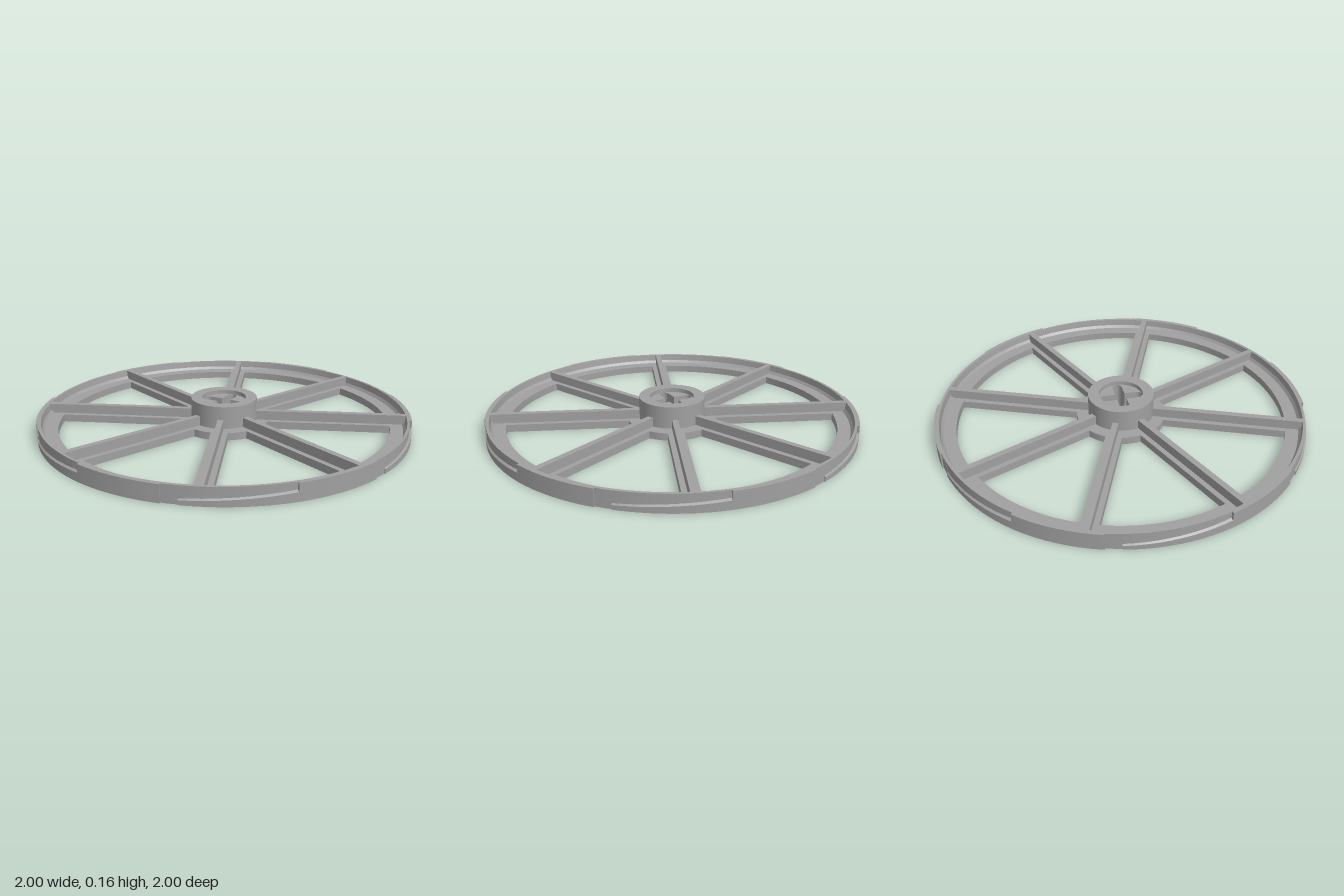
import * as THREE from 'three';
import { toCreasedNormals } from 'three/addons/utils/BufferGeometryUtils.js';

const grey = new THREE.MeshStandardMaterial({ name: 'mid grey', color: 0xa0a0a0 });

// Closed ring lofted through [angle, profile] sections; profiles run up the outside, down the inside
function loft(sections) {
  const pos = [], idx = [], n = sections[0][1].length, m = sections.length;
  for (const [deg, profile] of sections) {
    const a = THREE.MathUtils.degToRad(deg);
    for (const [r, y] of profile) pos.push(r * Math.cos(a), y, r * Math.sin(a));
  }
  for (let i = 0; i < m; i++) {
    const i2 = (i + 1) % m;
    for (let j = 0; j < n; j++) {
      const j2 = (j + 1) % n;
      const a = i * n + j, b = i * n + j2, c = i2 * n + j, d = i2 * n + j2;
      idx.push(a, b, c, b, d, c);
    }
  }
  const g = new THREE.BufferGeometry();
  g.setAttribute('position', new THREE.Float32BufferAttribute(pos, 3));
  g.setIndex(idx);
  return toCreasedNormals(g, 0.5);
}

function ring(profile, steps = 72) {
  return loft(Array.from({ length: steps }, (_, i) => [i * 360 / steps, profile]));
}

function add(parent, name, geometry) {
  const mesh = new THREE.Mesh(geometry, grey);
  mesh.name = name;
  parent.add(mesh);
  return mesh;
}

// Rim cross-section: outer face with an optional sloping ledge, inner wall and floor flange
function rimProfile(lip, ledgeY, top) {
  return [
    [lip, 0], [lip, ledgeY], [top, ledgeY + 0.007], [top, 0.09],
    [0.975, 0.09], [0.97, 0.055], [0.958, 0.04], [0.89, 0.04], [0.89, 0],
  ];
}

// Six repeats: plain band, shallow ramped recess, narrow step
function rimGeometry() {
  const sections = [];
  const run = (from, to, steps, fn) => {
    for (let i = 0; i <= steps; i++) {
      const t = i / steps;
      sections.push([from + (to - from) * t, fn(t)]);
    }
  };
  for (let k = 0; k < 6; k++) {
    const s = k * 60;
    run(s + 2.5, s + 28, 8, () => rimProfile(1, 0.044, 1));
    run(s + 28, s + 58, 10, t => rimProfile(1 - 0.003 * t, 0.046 - 0.024 * t, 0.987 + 0.004 * t));
    run(s + 58, s + 62.5, 2, () => rimProfile(0.992, 0.022, 0.992));
  }
  return loft(sections);
}

// Hub core with a cross-shaped axle hole with rounded arm ends
function hubCore() {
  const shape = new THREE.Shape().absarc(0, 0, 0.125, 0, Math.PI * 2);
  const hole = new THREE.Path();
  const w = 0.026, reach = 0.092;
  for (let k = 0; k < 4; k++) {
    const a = Math.PI / 4 + k * Math.PI / 2;
    const c = Math.cos(a), s = Math.sin(a);
    const put = (u, v) => {
      const x = u * c - v * s, y = u * s + v * c;
      if (k === 0 && hole.curves.length === 0 && u === w) hole.moveTo(x, y);
      else hole.lineTo(x, y);
    };
    if (k === 0) hole.moveTo(w * c + w * s, w * s - w * c);
    else put(w, -w);
    for (let i = 0; i <= 8; i++) {
      const b = -Math.PI / 2 + i * Math.PI / 8;
      put(reach + w * Math.cos(b), w * Math.sin(b));
    }
  }
  hole.closePath();
  shape.holes.push(hole);
  const g = new THREE.ExtrudeGeometry(shape, { depth: 0.138, bevelEnabled: false, curveSegments: 40 });
  return g.rotateX(-Math.PI / 2);
}

export function createModel() {
  const model = new THREE.Group();
  model.name = 'spokedWheel';

  add(model, 'rim', rimGeometry());

  // Hub
  const hub = new THREE.Group();
  hub.name = 'hub';
  model.add(hub);
  add(hub, 'hubFlange', ring([[0.242, 0], [0.242, 0.04], [0.15, 0.04], [0.15, 0.02], [0.12, 0.02], [0.12, 0]]));
  add(hub, 'hubCollar', ring([[0.178, 0.01], [0.178, 0.16], [0.119, 0.16], [0.119, 0.01]]));
  add(hub, 'axleSocket', hubCore());

  // Eight T-section spokes
  for (let k = 0; k < 8; k++) {
    const spoke = new THREE.Group();
    spoke.name = 'spoke' + (k + 1);
    spoke.rotation.y = Math.PI / 8 + k * Math.PI / 4;
    const base = add(spoke, 'spokeBase', new THREE.BoxGeometry(0.74, 0.04, 0.088));
    base.position.set(0.55, 0.02, 0);
    const rib = add(spoke, 'spokeRib', new THREE.BoxGeometry(0.81, 0.06, 0.032));
    rib.position.set(0.57, 0.06, 0);
    model.add(spoke);
  }
  return model;
}
